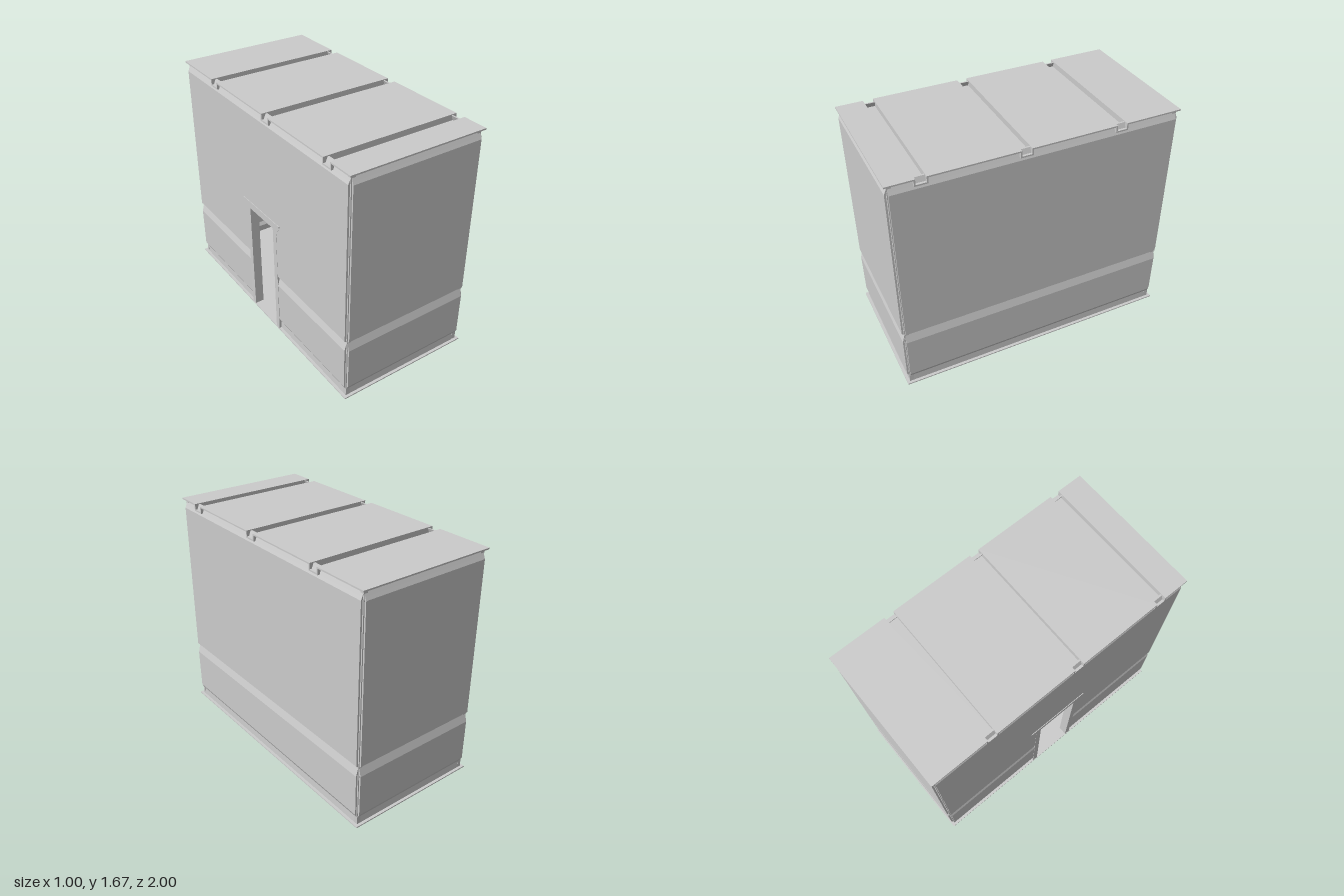
import * as THREE from 'three';

const grey = new THREE.MeshStandardMaterial({ color: 0xcccccc, flatShading: true, side: THREE.DoubleSide });
const HX = 0.5, HZ = 1, H = 1.67, NOTCH = 0.025, SHEET = 0.012;

// Wall cross-section as [inset from the edge, height]
const UPPER = [[0.005, 1.6], [0.013, 1.62], [0.03, 1.664]];
const WALL = [[0.02, 0.008], [0.022, 0.06], [0.007, 0.09], [0.005, 0.4],
  [0.022, 0.465], [0.005, 0.478], ...UPPER];
const OVER_DOOR = [[0.005, 0.9], ...UPPER];

function toShape(points) {
  return new THREE.Shape(points.map(([x, y]) => new THREE.Vector2(x, y)));
}

// Extrudes a closed outline, centred along its depth
function extrude(points, depth) {
  const geo = new THREE.ExtrudeGeometry(toShape(points), { depth, bevelEnabled: false });
  return geo.translate(0, 0, -depth / 2);
}

export function createModel() {
  const model = new THREE.Group();

  const add = (name, geo, x = 0, y = 0, z = 0, turn = 0) => {
    const mesh = new THREE.Mesh(geo, grey);
    mesh.name = name;
    mesh.position.set(x, y, z);
    mesh.rotation.y = turn;
    model.add(mesh);
    return mesh;
  };

  // Folded sheet panel with its outer side towards local +x
  const panel = (profile, length) => extrude([
    ...profile.map(([i, y]) => [-i, y]),
    ...[...profile].reverse().map(([i, y]) => [-i - SHEET, y]),
  ], length);

  // Floor plate
  add('floor', new THREE.BoxGeometry(2 * HX, 0.008, 2 * HZ), 0, 0.004, 0);

  // Unbroken walls
  const longLen = 2 * (HZ - NOTCH), shortLen = 2 * (HX - NOTCH);
  add('rightWall', panel(WALL, longLen), HX, 0, 0, 0);
  add('frontWall', panel(WALL, shortLen), 0, 0, HZ, -Math.PI / 2);
  add('backWall', panel(WALL, shortLen), 0, 0, -HZ, Math.PI / 2);

  // Wall with the doorway: two sides and the part above the door
  const doorHalf = 0.19, sideLen = HZ - NOTCH - doorHalf;
  for (const s of [-1, 1]) {
    add('doorWallSide', panel(WALL, sideLen), -HX, 0, s * (doorHalf + sideLen / 2), Math.PI);
  }
  add('doorWallTop', panel(OVER_DOOR, 2 * doorHalf), -HX, 0, 0, Math.PI);

  // Door frame, flaring out at the head
  const half = [[0.15, 0.008], [0.19, 0.008], [0.19, 0.82], [0.225, 0.89], [0.225, 0.905]];
  const frame = [
    ...half,
    ...[...half].reverse().map(([z, y]) => [-z, y]),
    [-0.15, 0.86], [0.15, 0.86],
  ];
  add('doorFrame', extrude(frame, 0.065), -HX + 0.036, 0, 0, Math.PI / 2);
  add('doorHood', new THREE.BoxGeometry(0.045, 0.012, 0.47), -HX + 0.023, 0.911, 0);

  // Corner posts set back behind the panel ends
  const postH = H - 0.016;
  for (const sx of [-1, 1]) for (const sz of [-1, 1]) {
    add('cornerPost', new THREE.BoxGeometry(0.03, postH, 0.03),
      sx * (HX - NOTCH - 0.01), 0.004 + postH / 2, sz * (HZ - NOTCH - 0.01));
  }

  // Roof sheet with three crosswise channels
  const T = 0.01, DEPTH = 0.04, W = 0.034;
  const top = [[-HZ, H]], under = [[-HZ, H - T]];
  for (const c of [-0.557, 0.11, 0.78]) {
    top.push([c - W, H], [c - W, H - DEPTH], [c + W, H - DEPTH], [c + W, H]);
    under.push([c - W - T, H - T], [c - W - T, H - DEPTH - T],
      [c + W + T, H - DEPTH - T], [c + W + T, H - T]);
  }
  top.push([HZ, H]);
  under.push([HZ, H - T]);
  add('roof', extrude([...top, ...under.reverse()], 2 * HX), 0, 0, 0, -Math.PI / 2);

  return model;
}
